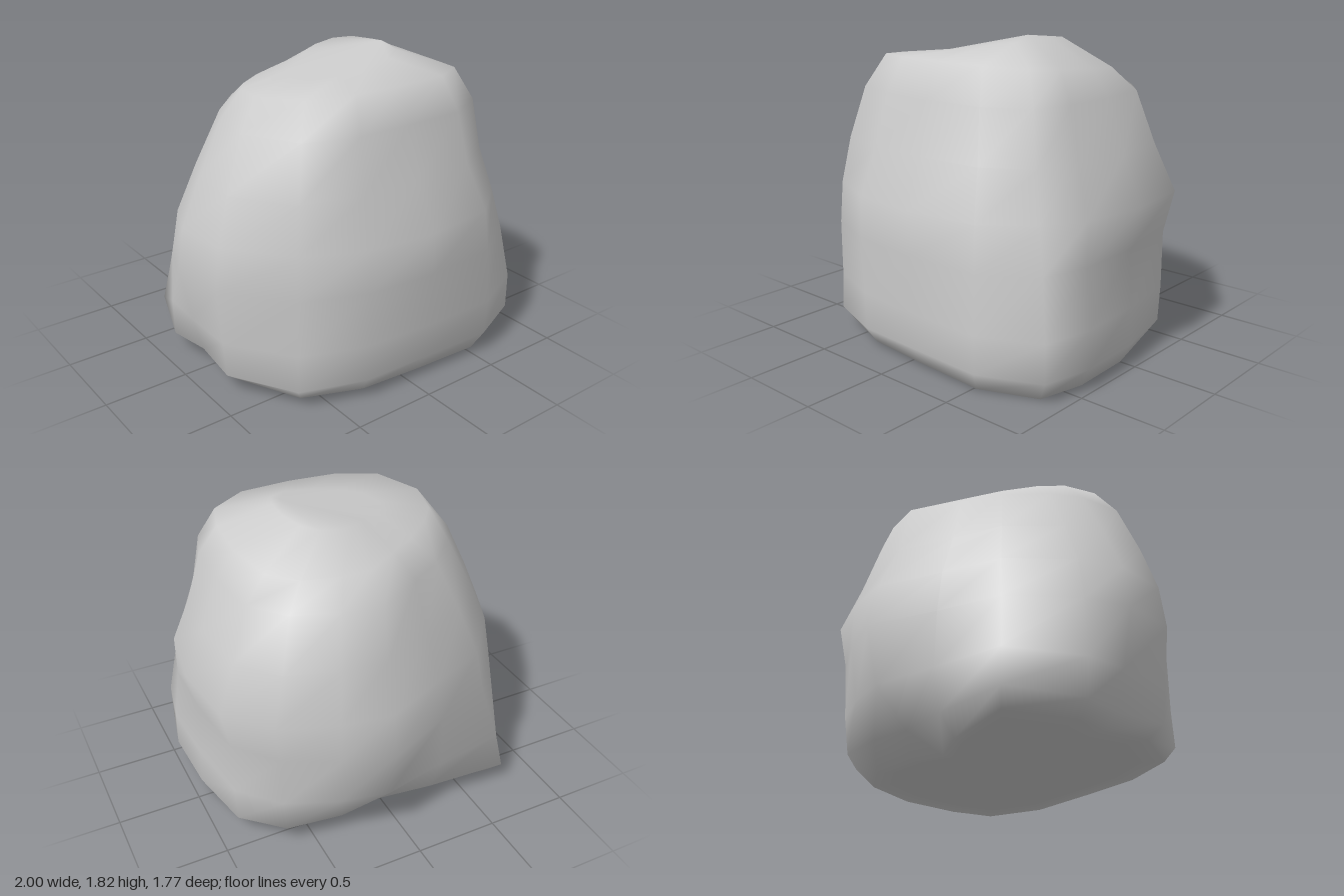
import * as THREE from 'three';

// Widest outline seen from above as [x, z], running from +x through +z, -x and -z.
const outline = [
  [1, 0], [1, 0.42], [0.92, 0.71], [0.58, 0.88], [0.1, 0.88], [-0.32, 0.84], [-0.68, 0.69], [-0.96, 0.34],
  [-0.99, 0], [-0.97, -0.27], [-0.75, -0.69], [-0.3, -0.78], [0.12, -0.89], [0.42, -0.82], [0.74, -0.68], [0.95, -0.43],
];

// Side profiles from bottom to top: height, then the share of the outline reached
// at every second outline point. The back right has a low ledge and a sloping upper side.
const profile = [
  [0.03, 0.9, 0.92, 0.9, 0.94, 0.77, 0.9, 0.44, 0.72],
  [0.13, 0.97, 1.0, 0.96, 1.01, 0.88, 1.01, 0.7, 0.9],
  [0.35, 0.96, 1.0, 0.98, 1.0, 0.94, 0.96, 0.92, 0.93],
  [0.68, 0.94, 0.94, 1.0, 1.0, 1.01, 0.85, 1.0, 0.95],
  [0.93, 1.0, 0.88, 1.0, 0.98, 0.97, 0.8, 0.95, 1.0],
  [1.2, 0.88, 0.8, 0.85, 0.92, 0.85, 0.68, 0.82, 0.88],
  [1.5, 0.77, 0.75, 0.77, 0.82, 0.7, 0.53, 0.74, 0.77],
  [1.65, 0.66, 0.65, 0.68, 0.69, 0.56, 0.38, 0.52, 0.6],
  [1.74, 0.37, 0.36, 0.38, 0.34, 0.25, 0.13, 0.22, 0.33],
];

// One cross-section: scales the outline by the profile shares, halving between neighbours.
function ring([y, ...shares], inset = 1) {
  return outline.map(([ox, oz], i) => {
    const before = shares[Math.floor(i / 2)];
    const after = shares[Math.ceil(i / 2) % shares.length];
    const share = ((before + after) / 2) * inset;
    const x = ox * share;
    const z = oz * share;
    // The base tips down to the left, the top rises to the left and front.
    const tilt = y < 0.1 ? -0.03 * x : y > 1.7 ? 0.15 * x : y > 1.6 ? 0.08 * z : 0;
    return [x, y + tilt, z];
  });
}

// Joins the cross-sections and the two end points into one closed, smooth skin.
function loft(sections, bottom, top) {
  const n = sections[0].length;
  const end = sections.length * n;
  const last = end - n;
  const index = [];
  for (let i = 0; i < n; i++) {
    const j = (i + 1) % n;
    for (let k = 0; k < last; k += n) {
      index.push(k + i, k + n + i, k + j, k + j, k + n + i, k + n + j);
    }
    index.push(end, i, j, end + 1, last + j, last + i);
  }
  const positions = [...sections.flat(), bottom, top].flat();
  const geometry = new THREE.BufferGeometry();
  geometry.setAttribute('position', new THREE.Float32BufferAttribute(positions, 3));
  geometry.setIndex(index);
  geometry.computeVertexNormals();
  return geometry;
}

export function createModel() {
  const group = new THREE.Group();
  group.name = 'rock';
  // An inset copy of the lowest section keeps the underside flat.
  const sections = [ring(profile[0], 0.85), ...profile.map((level) => ring(level))];
  const boulder = new THREE.Mesh(
    loft(sections, [0, 0.03, 0], [0.32, 1.82, 0.14]),
    new THREE.MeshStandardMaterial({ color: 0xcccccc })
  );
  boulder.name = 'boulder';
  group.add(boulder);
  return group;
}
